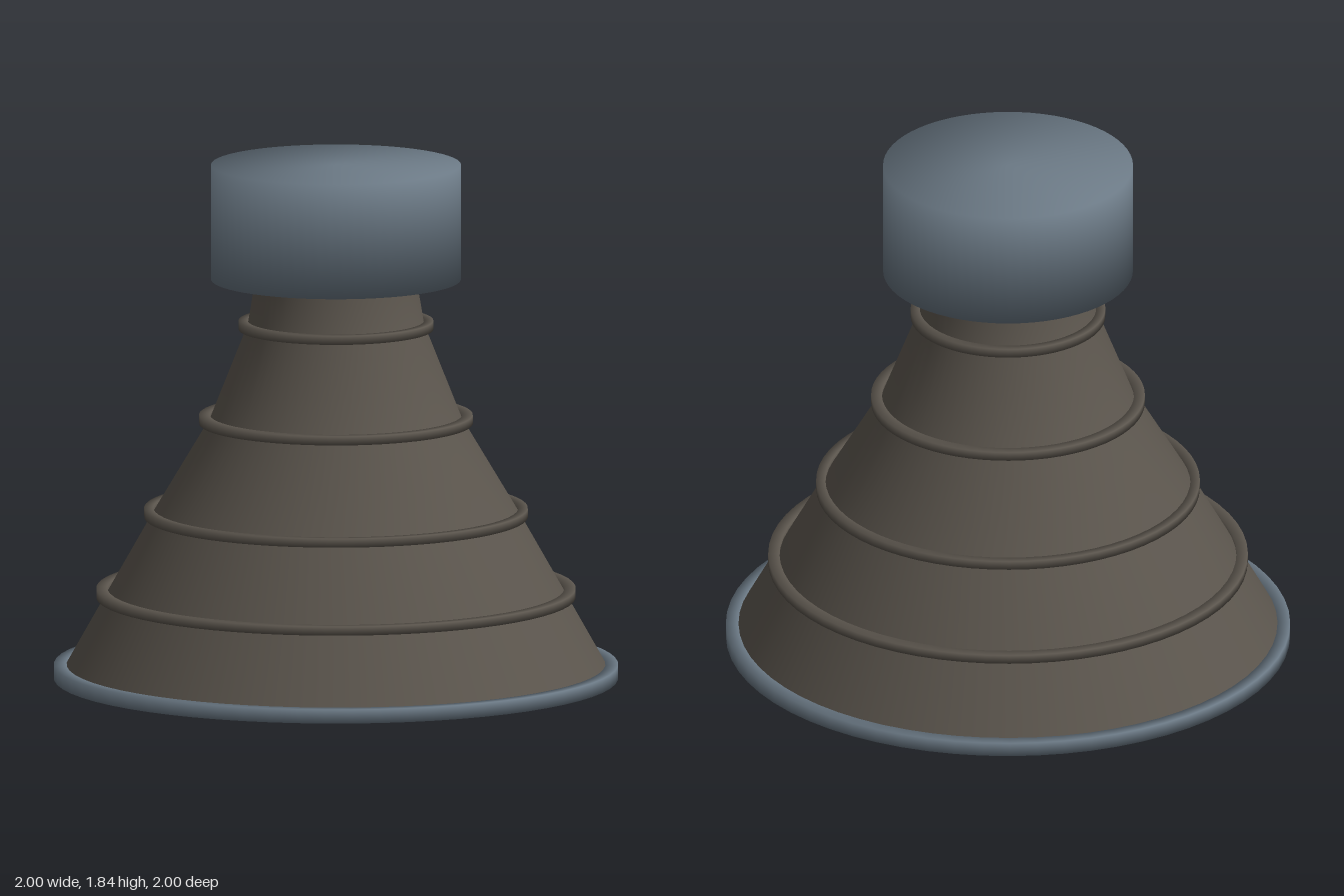
import * as THREE from 'three';

const SEGMENTS = 64;

// Spin a [radius, height] profile, listed so its outer side runs upwards
function lathe(name, profile, material) {
  const points = profile.map(([r, y]) => new THREE.Vector2(r, y));
  const mesh = new THREE.Mesh(new THREE.LatheGeometry(points, SEGMENTS), material);
  mesh.name = name;
  return mesh;
}

// Closed square-section hoop with softly shaded corners
function hoop(name, inner, outer, bottom, top, material) {
  return lathe(name, [
    [inner, bottom], [outer, bottom], [outer, top], [inner, top], [inner, bottom],
  ], material);
}

export function createModel() {
  const model = new THREE.Group();
  model.name = 'rocketNozzle';

  const steel = new THREE.MeshStandardMaterial({ color: 0x6b7985 });
  steel.name = 'blueSteel';
  const bellMetal = new THREE.MeshStandardMaterial({ color: 0x5b554d, side: THREE.DoubleSide });
  bellMetal.name = 'darkBellMetal';

  // Thin flared bell, open at the bottom
  model.add(lathe('bell', [
    [0.96, 0.04], [0.81, 0.307], [0.647, 0.595], [0.447, 0.93], [0.313, 1.268], [0.285, 1.435],
  ], bellMetal));

  // Stiffening bands: wall radius, outer radius, height
  const bands = [
    [0.81, 0.85, 0.307],
    [0.647, 0.68, 0.595],
    [0.447, 0.485, 0.93],
    [0.313, 0.345, 1.268],
  ];
  bands.forEach(([inner, outer, y], i) => {
    model.add(hoop(`stiffeningBand${i + 1}`, inner, outer, y - 0.016, y + 0.016, bellMetal));
  });

  // Lip around the mouth
  model.add(hoop('mouthRim', 0.955, 1, 0, 0.05, steel));

  // Solid drum above the throat
  model.add(lathe('engineDrum', [
    [0, 1.432], [0.443, 1.432], [0.443, 1.843], [0, 1.843],
  ], steel));

  return model;
}
